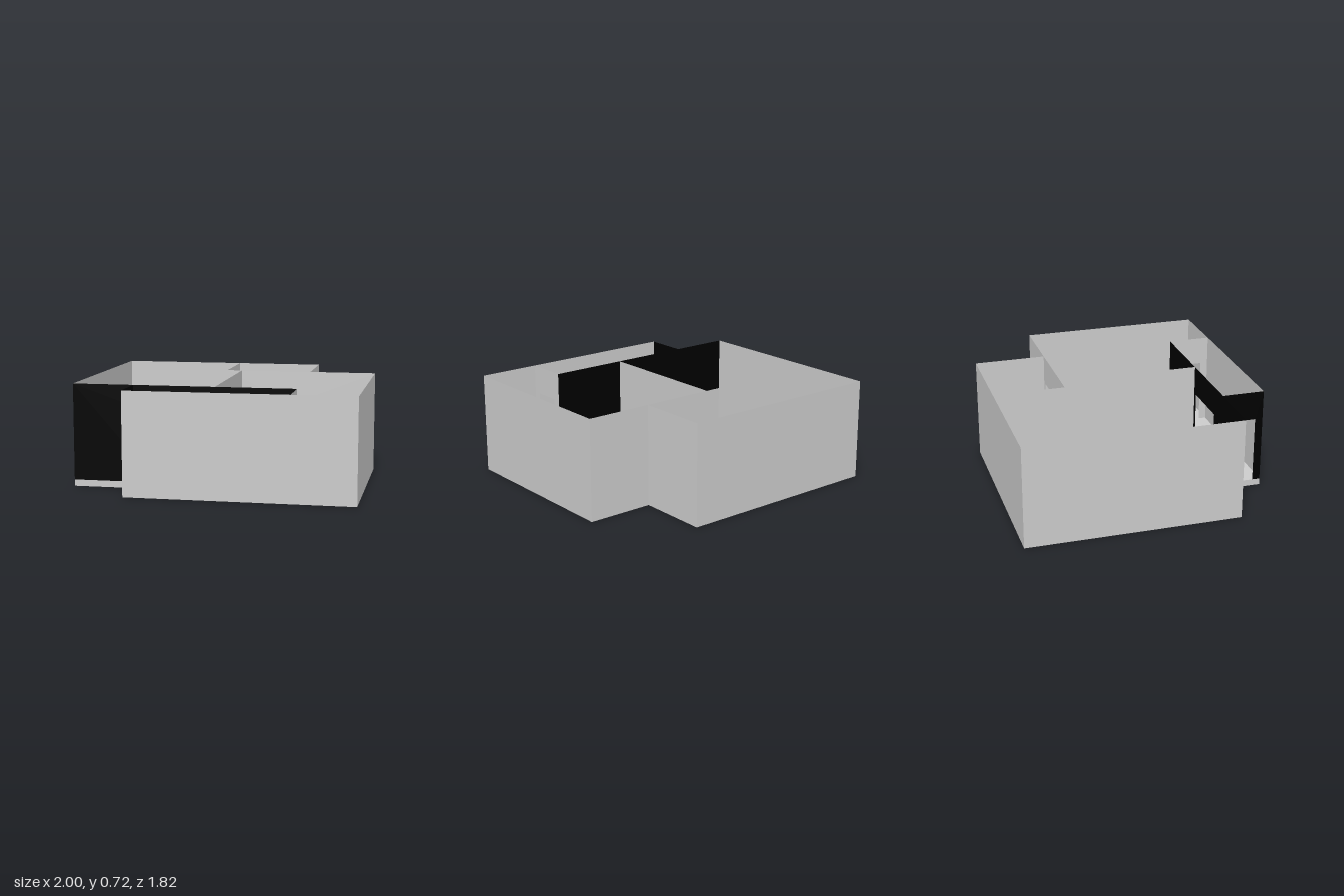
import * as THREE from 'three';

const FLOOR = 0.045, TOP = 0.72, DOOR_TOP = 0.515, LOW = 0.27;
const grey = new THREE.MeshStandardMaterial({ color: 0xcccccc, side: THREE.DoubleSide, flatShading: true });
const black = new THREE.MeshStandardMaterial({ color: 0x000000, side: THREE.DoubleSide, flatShading: true });

// Thin upright wall from (x1, z1) to (x2, z2); an optional doorway [from, to] is measured along it
function wall(name, [x1, z1], [x2, z2], { door, top = TOP, material = grey } = {}) {
  const length = Math.hypot(x2 - x1, z2 - z1);
  const outline = [[0, FLOOR]];
  if (door) outline.push([door[0], FLOOR], [door[0], DOOR_TOP], [door[1], DOOR_TOP], [door[1], FLOOR]);
  outline.push([length, FLOOR], [length, top], [0, top]);
  const shape = new THREE.Shape(outline.map(([u, v]) => new THREE.Vector2(u, v)));
  const mesh = new THREE.Mesh(new THREE.ShapeGeometry(shape), material);
  mesh.name = name;
  mesh.position.set(x1, 0, z1);
  mesh.rotation.y = -Math.atan2(z2 - z1, x2 - x1);
  return mesh;
}

export function createModel() {
  const house = new THREE.Group();
  house.name = 'roofless house';

  // Floor slab following the outer plan, listed as (x, z)
  const plan = [[-1, -0.91], [0.52, -0.91], [0.52, -0.4], [1, -0.4], [1, 0.91], [-0.57, 0.91], [-0.57, 0.605], [-1, 0.605]];
  const footprint = new THREE.Shape(plan.map(([x, z]) => new THREE.Vector2(x, -z)));
  const slab = new THREE.ExtrudeGeometry(footprint, { depth: FLOOR, bevelEnabled: false });
  slab.rotateX(-Math.PI / 2);
  const floor = new THREE.Mesh(slab, grey);
  floor.name = 'floor';
  house.add(floor);

  // Outer walls
  house.add(
    wall('backWall', [-1, -0.91], [0.52, -0.91]),
    wall('backSideWall', [0.52, -0.91], [0.52, -0.4]),
    wall('sideWallLeft', [1, -0.4], [1, 0.91]),
    wall('frontWall', [-0.57, 0.91], [1, 0.91]),
    wall('sideWallRight', [-1, -0.91], [-1, 0.605]),
  );

  // Dark walls of the entrance hall
  house.add(
    wall('hallWall', [-1, 0.605], [0.56, 0.605], { door: [0.59, 0.965], material: black }),
    wall('entranceWall', [-0.57, 0.605], [-0.57, 0.91], { door: [0.06, 0.25], material: black }),
  );

  // Inner partitions
  house.add(
    wall('hallEndWall', [0.56, 0.605], [0.56, 0.91], { door: [0.06, 0.25] }),
    wall('middlePartition', [0, -0.4], [0, 0.605]),
    wall('backPartition', [-0.11, -0.91], [-0.11, -0.4]),
    wall('crossPartition', [-0.11, -0.4], [1, -0.4], { door: [0.4, 0.59] }),
  );

  // Low dividers either side of a passage
  house.add(
    wall('lowDividerOuter', [-1, -0.4], [-0.76, -0.4], { top: LOW }),
    wall('lowDividerInner', [-0.54, -0.4], [-0.11, -0.4], { top: LOW }),
  );
  return house;
}
